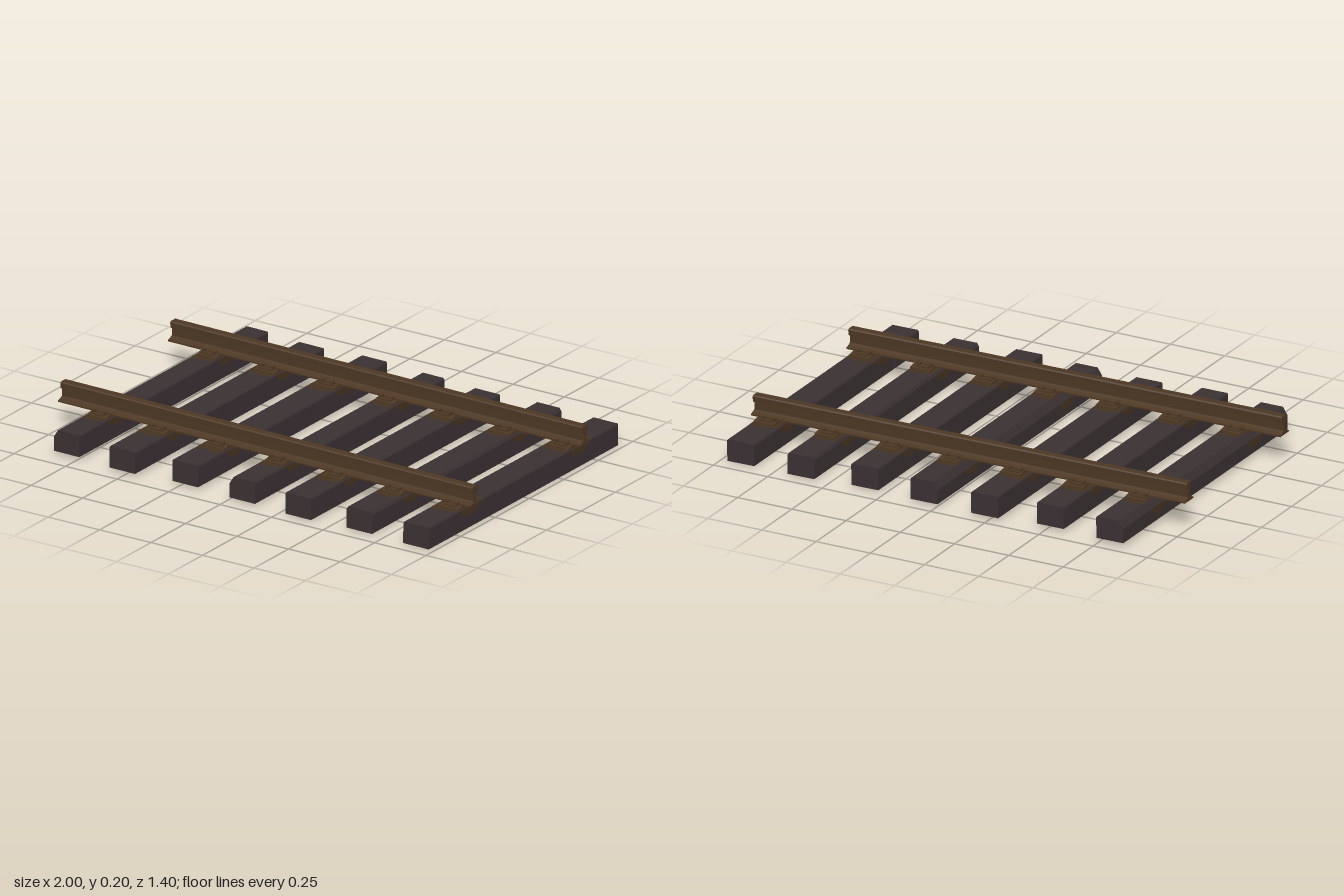
import * as THREE from 'three';

const wood = new THREE.MeshStandardMaterial({ name: 'tarredWood', color: 0x3a3032, flatShading: true });
const steel = new THREE.MeshStandardMaterial({ name: 'rustySteel', color: 0x4c3723, flatShading: true });
const stain = new THREE.MeshStandardMaterial({ name: 'rustStain', color: 0x45321f, flatShading: true, side: THREE.DoubleSide });

const BASE = 0.0105, TOP = 0.104, HALF = 0.062;
const RAIL_Z = [-0.4, 0.396];

// x centre, back z, front z, [left, right] top chamfer widths
const SLEEPERS = [
  [-0.8, -0.7, 0.668, [0.02, 0.003]],
  [-0.515, -0.68, 0.69, [0.003, 0.003]],
  [-0.226, -0.705, 0.665, [0.003, 0.004]],
  [0.062, -0.69, 0.682, [0.02, 0.004]],
  [0.345, -0.672, 0.698, [0.003, 0.003]],
  [0.63, -0.69, 0.682, [0.008, 0.008]],
  [0.911, -0.683, 0.69, [0.004, 0.003]],
];

function polygon(points) {
  return new THREE.Shape(points.map(([x, y]) => new THREE.Vector2(x, y)));
}

function add(parent, name, geometry, material, x = 0, y = 0, z = 0) {
  const mesh = new THREE.Mesh(geometry, material);
  mesh.name = name;
  mesh.position.set(x, y, z);
  parent.add(mesh);
  return mesh;
}

// Wooden beam with worn upper edges
function sleeperGeometry(z0, z1, [cl, cr]) {
  const shape = polygon([
    [-HALF, BASE], [HALF, BASE], [HALF, TOP - cr * 1.6], [HALF - cr, TOP],
    [-HALF + cl, TOP], [-HALF, TOP - cl * 1.6],
  ]);
  return new THREE.ExtrudeGeometry(shape, { depth: z1 - z0, bevelEnabled: false }).translate(0, 0, z0);
}

// Rail profile: wide foot, thin web and square head
function railGeometry() {
  const half = [
    [0.036, 0.113], [0.036, 0.119], [0.018, 0.125], [0.007, 0.131],
    [0.007, 0.162], [0.019, 0.167], [0.02, 0.19], [0.016, 0.195],
  ];
  const mirrored = half.map(([x, y]) => [-x, y]).reverse();
  return new THREE.ExtrudeGeometry(polygon([...half, ...mirrored]), { depth: 2, bevelEnabled: false })
    .translate(0, 0, -1).rotateY(Math.PI / 2);
}

// Bearing plate, sloping shoulders, spikes and rust marks at one crossing
function addFastening(parent, z, [cl, cr], index) {
  const group = new THREE.Group();
  group.name = 'railFastening';
  group.position.z = z;
  parent.add(group);
  const plate = polygon([
    [-0.074, TOP - 0.002], [0.074, TOP - 0.002], [0.074, 0.109], [0.042, 0.114], [-0.042, 0.114], [-0.074, 0.109],
  ]);
  add(group, 'bearingPlate', new THREE.ExtrudeGeometry(plate, { depth: 0.092, bevelEnabled: false })
    .translate(0, 0, -0.046).rotateY(Math.PI / 2), steel, 0.01);
  for (const s of [-1, 1]) {
    for (const x of [-0.022, 0.03]) {
      add(group, 'spikeHead', new THREE.BoxGeometry(0.014, 0.012, 0.02), steel, x, 0.119, s * 0.042);
    }
    add(group, 'clampBar', new THREE.BoxGeometry(0.06, 0.008, 0.014), steel, 0.006, 0.113, s * 0.056);
  }
  // Rust spread over the top of the wood
  const k = 0.006 * Math.sin(index * 2.3);
  const top = polygon([
    [-HALF + cl, -0.1 + k], [0, -0.108], [HALF - cr, -0.096 - k],
    [HALF - cr, 0.098 + k], [0, 0.106], [-HALF + cl, 0.1 - k],
  ]);
  add(group, 'topRust', new THREE.ShapeGeometry(top).rotateX(-Math.PI / 2), stain, 0, TOP + 0.0008);
  // Rust running down both sides
  const run = polygon([[-0.07, 0], [-0.05, -0.021], [-0.02, -0.033], [0.022, -0.033], [0.05, -0.02], [0.07, 0]]);
  for (const [s, c] of [[-1, cl], [1, cr]]) {
    add(group, 'sideRust', new THREE.ShapeGeometry(run).rotateY(s * Math.PI / 2), stain,
      s * (HALF + 0.0008), TOP - c * 1.6, 0);
  }
}

export function createModel() {
  const model = new THREE.Group();
  model.name = 'railwayTrack';
  const track = new THREE.Group();
  track.name = 'track';
  track.rotation.z = -0.009; // the track dips slightly to one side
  model.add(track);

  SLEEPERS.forEach(([x, z0, z1, chamfers], i) => {
    const group = new THREE.Group();
    group.name = 'sleeperAssembly';
    group.position.x = x;
    track.add(group);
    add(group, 'sleeper', sleeperGeometry(z0, z1, chamfers), wood);
    RAIL_Z.forEach((z, j) => addFastening(group, z, chamfers, i + j * 7));
  });

  const rail = railGeometry();
  RAIL_Z.forEach((z) => add(track, 'rail', rail, steel, 0, 0, z));
  return model;
}
